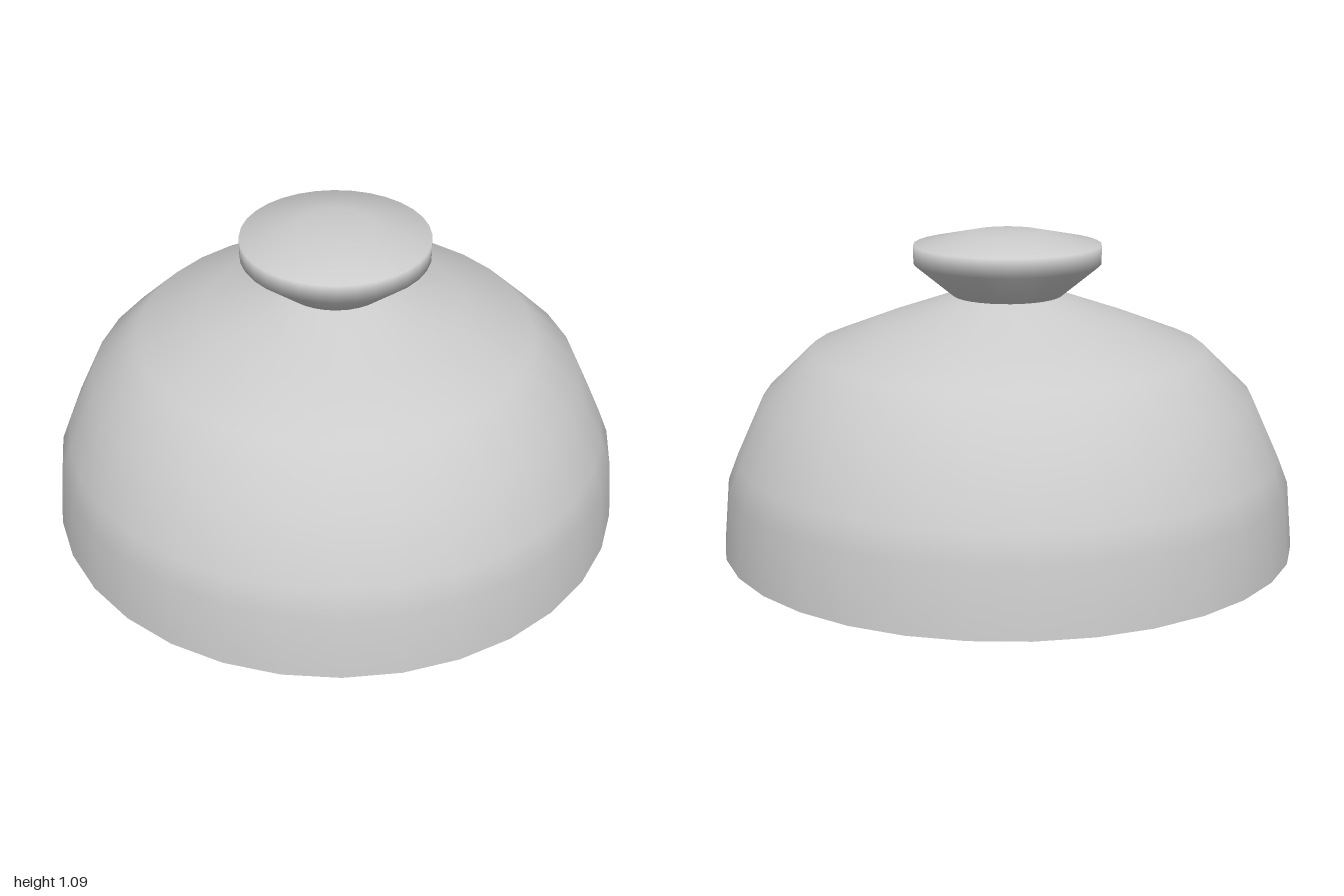
import * as THREE from 'three';

const SEGMENTS = 32;

// Revolves a profile of [radius, height] pairs, listed from bottom to top
function turned(name, profile) {
  const points = profile.map(([r, y]) => new THREE.Vector2(r, y));
  const material = new THREE.MeshStandardMaterial({ color: 0xcccccc, side: THREE.DoubleSide });
  const mesh = new THREE.Mesh(new THREE.LatheGeometry(points, SEGMENTS), material);
  mesh.name = name;
  return mesh;
}

export function createModel() {
  const model = new THREE.Group();
  model.name = 'domeCover';

  // Thin open shell, hollow underneath
  model.add(turned('dome', [
    [1, 0], [0.98, 0.23], [0.945, 0.32], [0.85, 0.53],
    [0.685, 0.69], [0.45, 0.783], [0.19, 0.875],
  ]));

  // Flared knob with a shallow crown, growing out of the dome's neck
  model.add(turned('knob', [
    [0.19, 0.875], [0.324, 0.985], [0.324, 1.05], [0.125, 1.092], [0, 1.092],
  ]));

  return model;
}
